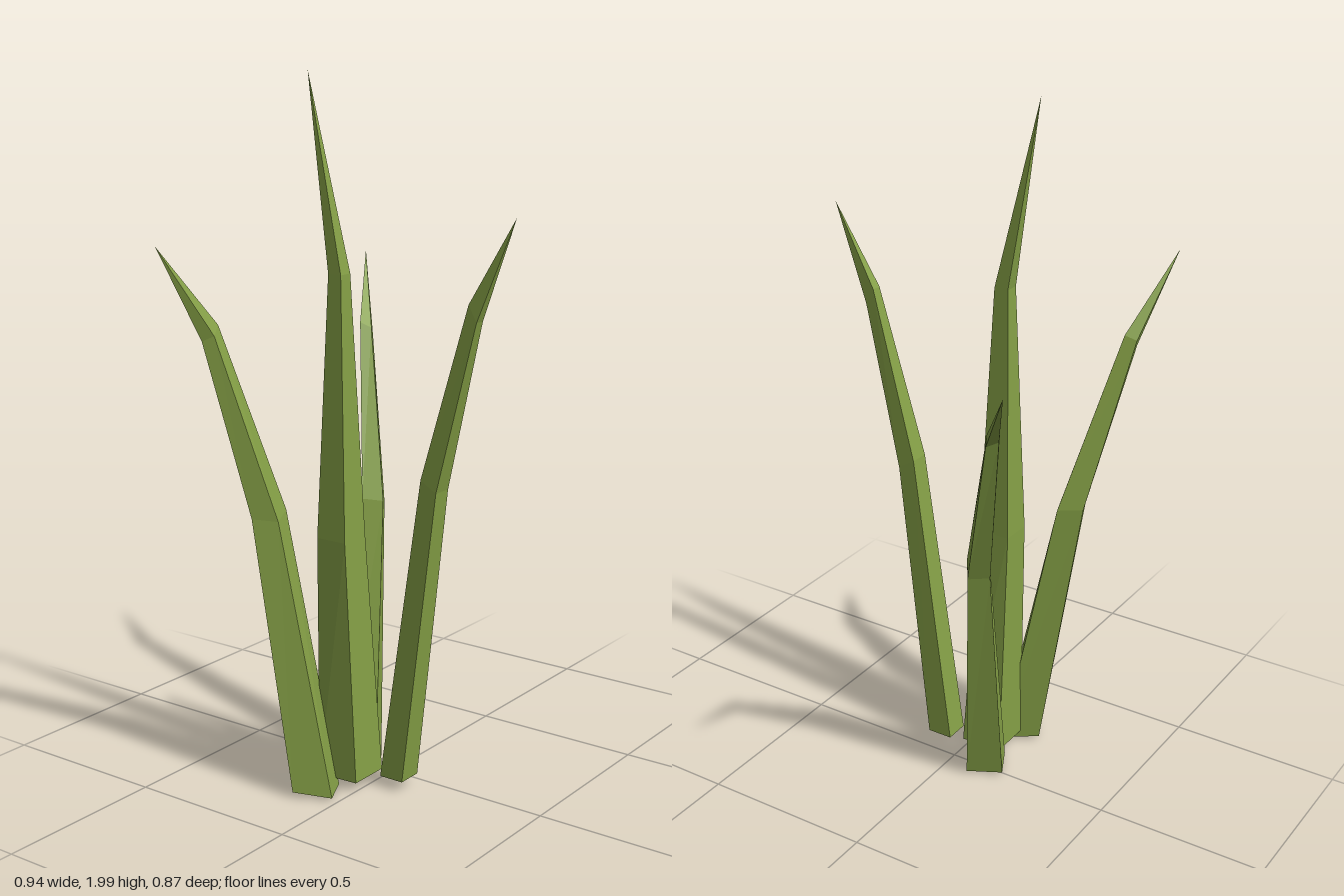
import * as THREE from 'three';

// Four-sided cross-section from one corner and its two neighbours, counterclockwise from above
const section = (corner, next, previous) => {
  const opposite = next.map((v, i) => v + previous[i] - corner[i]);
  return [corner, next, opposite, previous];
};

// Tapered blade: skins the sections, closes the base and ends in a point
function blade(name, sections, tip, material) {
  const pos = [];
  const tri = (a, b, c) => pos.push(...a, ...b, ...c);
  const base = sections[0];
  tri(base[0], base[2], base[1]);
  tri(base[0], base[3], base[2]);
  sections.forEach((low, s) => {
    const high = sections[s + 1];
    for (let i = 0; i < 4; i++) {
      const j = (i + 1) % 4;
      if (high) {
        tri(low[i], low[j], high[j]);
        tri(low[i], high[j], high[i]);
      } else {
        tri(low[i], low[j], tip);
      }
    }
  });
  const geometry = new THREE.BufferGeometry();
  geometry.setAttribute('position', new THREE.Float32BufferAttribute(pos, 3));
  geometry.computeVertexNormals();
  const mesh = new THREE.Mesh(geometry, material);
  mesh.name = name;
  return mesh;
}

export function createModel() {
  const group = new THREE.Group();
  group.name = 'grassTuft';
  const green = new THREE.MeshStandardMaterial({ color: 0x85a046, flatShading: true });
  green.name = 'grassGreen';

  // Slim blade leaning forward
  group.add(blade('frontBlade', [
    section([-0.105, 0.035, 0.11], [-0.03, 0.035, 0.11], [-0.105, 0.035, 0.035]),
    section([-0.098, 0.89, 0.215], [-0.04, 0.89, 0.215], [-0.098, 0.92, 0.165]),
    section([-0.086, 1.36, 0.33], [-0.056, 1.36, 0.33], [-0.086, 1.405, 0.305]),
  ], [-0.07, 1.635, 0.437], green));

  // Tall central blade bending back at the top
  group.add(blade('tallBlade', [
    section([-0.177, 0.03, 0.003], [-0.053, 0.03, 0.003], [-0.185, 0.03, -0.12]),
    section([-0.185, 0.73, -0.025], [-0.092, 0.73, -0.025], [-0.185, 0.73, -0.12]),
    section([-0.162, 1.46, -0.05], [-0.12, 1.46, -0.05], [-0.162, 1.46, -0.092]),
  ], [-0.142, 1.99, -0.17], green));

  // Blade arching out to the left and back
  group.add(blade('leftBlade', [
    section([-0.035, 0.01, -0.033], [0.057, 0.01, -0.08], [-0.085, 0.01, -0.125]),
    section([0.125, 0.765, -0.122], [0.19, 0.745, -0.165], [0.095, 0.77, -0.175]),
    section([0.28, 1.235, -0.278], [0.3, 1.21, -0.287], [0.265, 1.25, -0.308]),
  ], [0.467, 1.435, -0.437], green));

  // Blade arching out to the right and back
  group.add(blade('rightBlade', [
    section([-0.26, 0.01, -0.018], [-0.16, 0.003, -0.07], [-0.31, 0.02, -0.118]),
    section([-0.273, 0.785, -0.185], [-0.2, 0.8, -0.217], [-0.308, 0.79, -0.25]),
    section([-0.353, 1.295, -0.33], [-0.32, 1.32, -0.345], [-0.37, 1.28, -0.36]),
  ], [-0.468, 1.54, -0.427], green));

  return group;
}
